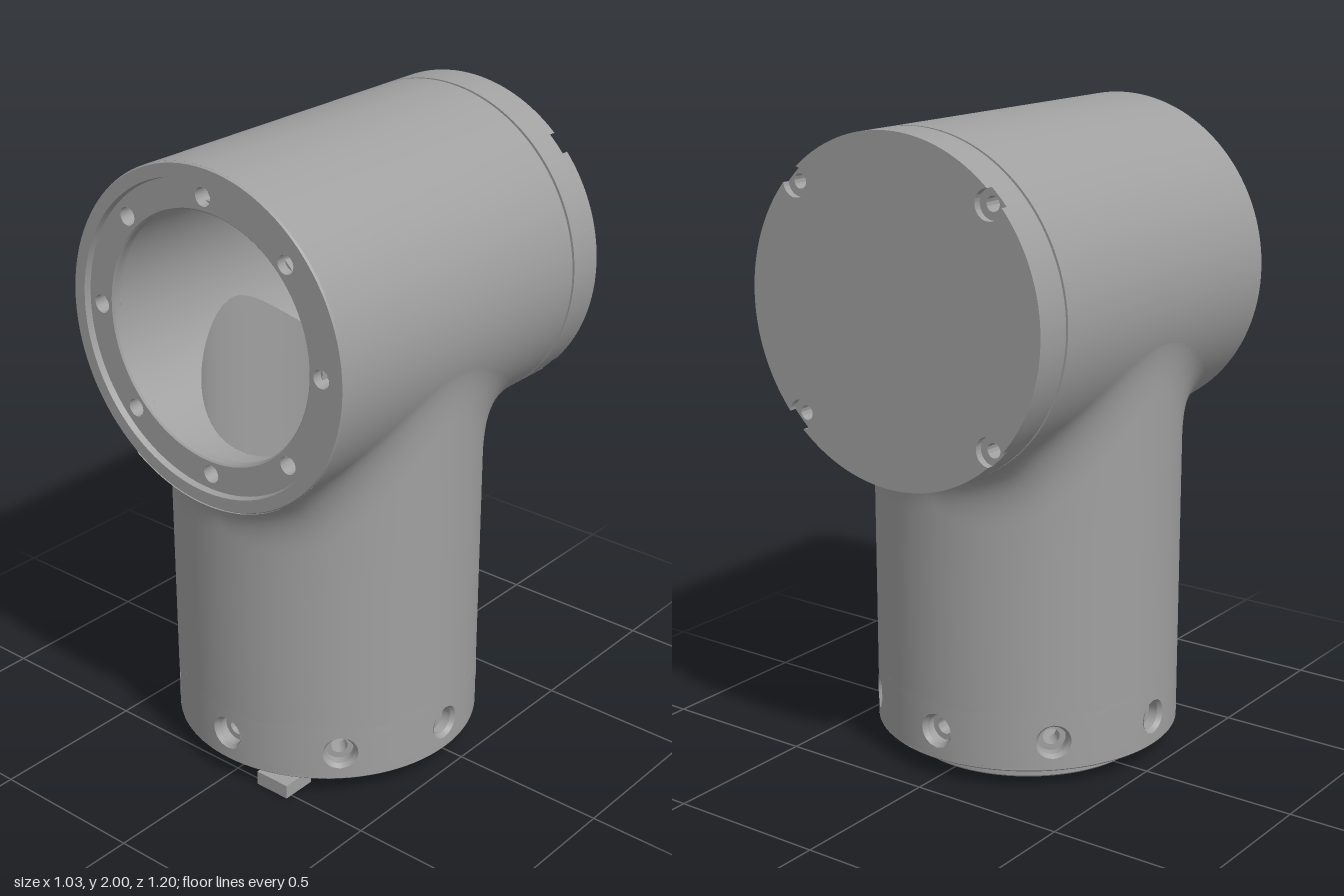
import * as THREE from 'three';
import { mergeGeometries, toCreasedNormals } from 'three/addons/utils/BufferGeometryUtils.js';
import { ParametricGeometry } from 'three/addons/geometries/ParametricGeometry.js';

const AXIS_Y = 1.485;   // height of the horizontal housing axis
const NECK_Z = 0.065;   // z of the vertical neck axis
const HOUSING_R = 0.515, BORE_R = 0.4, NECK_R = 0.48, NECK_BORE_R = 0.38;
const SCREW_Y = 0.155, BAND_TOP = 0.25;

const grid = (f, nu, nv) => new ParametricGeometry((u, v, t) => t.set(...f(u, v)), nu, nv);
const lathe = (pts, n = 64) => new THREE.LatheGeometry(pts.map(p => new THREE.Vector2(...p)), n);
const underside = (R, x) => AXIS_Y - Math.sqrt(Math.max(0, R * R - x * x));

// Horizontal tube with an opening below where the vertical tube enters
function crossTube(R, cut, zBack, zFront) {
  const strip = (end, side) => grid((u, v) => {
    const a = u * Math.PI * 2, x = R * Math.sin(a);
    const s = Math.cos(a) > 0 && Math.abs(x) < cut ? Math.sqrt(cut * cut - x * x) : 0;
    const z = end + (NECK_Z + side * s - end) * v;
    return [x, AXIS_Y - R * Math.cos(a), z];
  }, 144, 2);
  return [strip(zFront, 1), strip(zBack, -1)];
}

// Cylinder band around the neck axis with eight round radial holes
function drilledBand(R, holeR, yLow, yHigh) {
  const patches = [];
  for (let i = 0; i < 8; i++) {
    patches.push(grid((u, v) => {
      const k = Math.min(Math.max(u, 0), 1) * 32, side = Math.floor(k / 8) % 4;
      const f = (k % 8) / 4 - 1;
      const [px, py] = [[f, -1], [1, f], [-f, 1], [-1, -f]][side];
      const bx = px * R * Math.PI / 8;
      const by = py < 0 ? py * (SCREW_Y - yLow) : py * (yHigh - SCREW_Y);
      const a = Math.atan2(by, bx);
      const w = holeR * Math.cos(a) * (1 - v) + bx * v;
      const h = holeR * Math.sin(a) * (1 - v) + by * v;
      const th = i * Math.PI / 4 + w / R;
      return [R * Math.sin(th), SCREW_Y + h, NECK_Z + R * Math.cos(th)];
    }, 32, 5));
  }
  return patches;
}

// Flat ring or disc with a circle of round holes
function drilledShape(shape, count, circleR, holeR, offset) {
  for (let i = 0; i < count; i++) {
    const a = offset + i * Math.PI * 2 / count;
    shape.holes.push(new THREE.Path().absarc(circleR * Math.cos(a), circleR * Math.sin(a), holeR, 0, Math.PI * 2, true));
  }
  return shape;
}

function ringShape(outer, inner) {
  const s = new THREE.Shape().absarc(0, 0, outer, 0, Math.PI * 2);
  if (inner) s.holes.push(new THREE.Path().absarc(0, 0, inner, 0, Math.PI * 2, true));
  return s;
}

export function createModel() {
  const model = new THREE.Group();
  const grey = new THREE.MeshStandardMaterial({ color: 0xa0a0a0, side: THREE.DoubleSide });
  grey.name = 'castGrey';

  const add = (name, geos) => {
    const plain = [].concat(geos).map(g => {
      const n = g.index ? g.toNonIndexed() : g;
      return n;
    });
    const mesh = new THREE.Mesh(toCreasedNormals(mergeGeometries(plain), 0.6), grey);
    mesh.name = name;
    model.add(mesh);
    return mesh;
  };
  const alongZ = g => g.rotateX(Math.PI / 2).translate(0, AXIS_Y, 0);
  const onNeck = g => g.translate(0, 0, NECK_Z);

  // Horizontal housing and its bore
  add('housing', crossTube(HOUSING_R, 0.47, -0.47, 0.594));
  add('housingBore', crossTube(BORE_R, NECK_BORE_R, -0.48, 0.55));

  // Front rim, recessed seat and lip
  add('frontRim', alongZ(lathe([[0.515, 0.594], [0.511, 0.6], [0.472, 0.6], [0.468, 0.58]], 96)));
  add('frontSeat', new THREE.ShapeGeometry(drilledShape(ringShape(0.469, 0.38), 8, 0.42, 0.028, 0), 48)
    .translate(0, AXIS_Y, 0.58));
  add('frontLip', alongZ(lathe([[0.38, 0.58], [0.375, 0.575], [0.375, 0.55], [0.4, 0.55]], 96)));
  const seatHoles = [];
  for (let i = 0; i < 8; i++) {
    const a = i * Math.PI / 4;
    seatHoles.push(lathe([[0.028, 0.58], [0.028, 0.53], [0, 0.53]], 20).rotateX(Math.PI / 2)
      .translate(0.42 * Math.cos(a), AXIS_Y + 0.42 * Math.sin(a), 0));
  }
  add('frontScrewHoles', seatHoles);

  // Rear cover: scalloped outer layer over a full disc, with a narrow groove
  const scallop = new THREE.Shape(), d = 0.485, r = 0.045;
  const beta = Math.acos((HOUSING_R ** 2 + d * d - r * r) / (2 * HOUSING_R * d));
  const gamma = Math.atan2(HOUSING_R * Math.sin(beta), HOUSING_R * Math.cos(beta) - d);
  for (let i = 0; i < 4; i++) {
    const c = Math.PI / 4 + i * Math.PI / 2;
    scallop.absarc(d * Math.cos(c), d * Math.sin(c), r, c - gamma, c + gamma, true);
    scallop.absarc(0, 0, HOUSING_R, c + beta, c + Math.PI / 2 - beta, false);
  }
  const solid = (s, depth, n) => new THREE.ExtrudeGeometry(s, { depth, bevelEnabled: false, curveSegments: n });
  add('coverFace', solid(scallop, 0.024, 28).translate(0, AXIS_Y, -0.6));
  add('coverDisc', solid(drilledShape(ringShape(HOUSING_R), 4, d, 0.022, Math.PI / 4), 0.097, 96)
    .translate(0, AXIS_Y, -0.577));
  add('coverGroove', alongZ(lathe([[0.506, -0.485], [0.506, -0.47], [0.515, -0.47]], 96)));

  // Neck wall flowing into the housing through a fillet cut off at the housing ends
  add('neck', grid((u, v) => {
    const a = u * Math.PI * 2, sn = Math.sin(a), cs = Math.cos(a);
    const x1 = NECK_R * sn, z1 = NECK_R * cs, y1 = underside(HOUSING_R, x1);
    const y0 = y1 - 0.1 - 0.1 * Math.abs(Math.sin(2 * a));
    if (v < 0.2) return [x1, BAND_TOP + (y0 - BAND_TOP) * Math.max(v, 0) / 0.2, NECK_Z + z1];
    const t = (v - 0.2) / 0.8, k = 1 - t;
    const x2 = 0.5 * sn, z2 = THREE.MathUtils.clamp(0.66 * cs, -0.535, 0.535);
    const y2 = underside(HOUSING_R, x2);
    const bez = (p, q, s) => k * k * p + 2 * k * t * q + t * t * s;
    return [bez(x1, x1, x2), bez(y0, y1, y2), NECK_Z + bez(z1, z1, z2)];
  }, 96, 15));
  add('neckBase', drilledBand(NECK_R, 0.055, 0.065, BAND_TOP));

  // Inside of the neck
  add('neckBore', [
    ...drilledBand(NECK_BORE_R, 0.026, 0.06, BAND_TOP),
    grid((u, v) => {
      const a = u * Math.PI * 2, x = NECK_BORE_R * Math.sin(a);
      return [x, BAND_TOP + (underside(BORE_R, x) - BAND_TOP) * v, NECK_Z + NECK_BORE_R * Math.cos(a)];
    }, 96, 4)
  ]);

  // Counterbored radial screw holes
  const bores = [];
  for (let i = 0; i < 8; i++) {
    bores.push(onNeck(lathe([[0.055, 0.479], [0.045, 0.465], [0.045, 0.435], [0.026, 0.435], [0.026, 0.378]], 24)
      .rotateX(Math.PI / 2).translate(0, SCREW_Y, 0).rotateY(i * Math.PI / 4)));
  }
  add('radialScrewHoles', bores);

  // Bottom shoulder, flange ring, drilled plate and locating key
  add('bottomFlange', onNeck(lathe([
    [0.48, 0.065], [0.475, 0.06], [0.44, 0.06], [0.44, 0.07], [0.41, 0.07], [0.41, 0.055], [0.39, 0.055],
    [0.39, 0.006], [0.384, 0], [0.36, 0], [0.36, 0.015]
  ], 96)));
  add('bottomPlate', onNeck(solid(drilledShape(ringShape(0.38, 0.175), 8, 0.285, 0.026, Math.PI / 8), 0.045, 48)
    .rotateX(-Math.PI / 2).translate(0, 0.015, 0)));
  add('locatingKey', new THREE.BoxGeometry(0.12, 0.046, 0.115).translate(0.165, 0.025, 0.467));

  return model;
}
